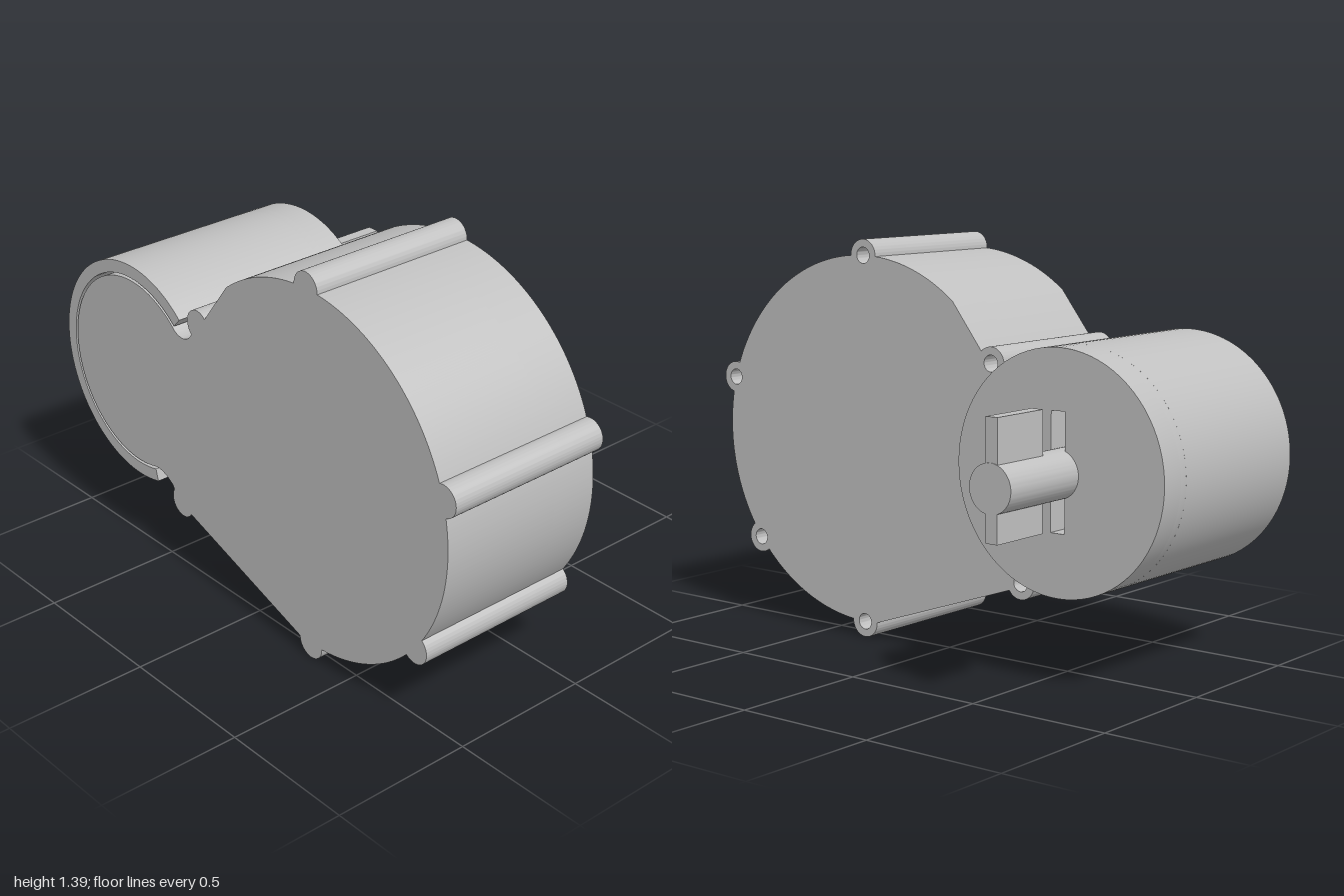
import * as THREE from 'three';
import { toCreasedNormals } from 'three/addons/utils/BufferGeometryUtils.js';

const steel = new THREE.MeshStandardMaterial({ color: 0xc0c0c0 });
steel.name = 'light grey metal';

const FRONT = 0.545, BACK = -0.07, CAP_BACK = -0.2, CAP_FRONT = -0.08;
const big = { x: 0.325, y: 0.7, r: 0.64 };
const small = { x: -0.6, y: 0.7 };
const BOSS_R = 0.055, HOLE_R = 0.028;
const rad = THREE.MathUtils.degToRad;

// Prism of a shape between two z positions, smooth along curves
function prism(name, shape, z0, z1) {
  const geo = new THREE.ExtrudeGeometry(shape, { depth: z1 - z0, bevelEnabled: false, curveSegments: 40 });
  geo.translate(0, 0, z0);
  const mesh = new THREE.Mesh(toCreasedNormals(geo, rad(30)), steel);
  mesh.name = name;
  return mesh;
}

function circle(x, y, r) {
  return new THREE.Shape().absarc(x, y, r, 0, Math.PI * 2, false);
}

function rect(x0, x1, y0, y1) {
  return new THREE.Shape([[x0, y0], [x1, y0], [x1, y1], [x0, y1]].map(p => new THREE.Vector2(...p)));
}

// Screw bosses: four on the big rim, two at the waist
const rimAngles = [-90, -38.7, 15.9, 90].map(rad);
const onRim = a => ({ x: big.x + big.r * Math.cos(a), y: big.y + big.r * Math.sin(a) });
const upperBoss = { x: -0.23, y: 1.01 }, lowerBoss = { x: -0.357, y: 0.292 };
const bosses = [...rimAngles.map(onRim), upperBoss, lowerBoss];

// Counter-clockwise outline of the gear housing including its bosses
function housingShape() {
  const s = new THREE.Shape();
  const boss = (c, from, to) => s.absarc(c.x, c.y, BOSS_R,
    Math.atan2(from.y - c.y, from.x - c.x), Math.atan2(to.y - c.y, to.x - c.x), false);
  const half = 2 * Math.asin(BOSS_R / (2 * big.r));
  s.moveTo(0, 0.062);
  rimAngles.forEach((a, i) => {
    boss(onRim(a), onRim(a - half), onRim(a + half));
    const next = i < 3 ? rimAngles[i + 1] - half : rad(128);
    s.absarc(big.x, big.y, big.r, a + half, next, false);
  });
  boss(upperBoss, { x: -0.185, y: 1.053 }, { x: -0.265, y: 0.967 });
  s.quadraticCurveTo(-0.3, 0.915, -0.356, 0.944);
  s.absarc(small.x, small.y, 0.345, rad(45), rad(287), false);
  s.quadraticCurveTo(-0.45, 0.368, -0.41, 0.335);
  boss(lowerBoss, { x: -0.404, y: 0.322 }, { x: -0.31, y: 0.262 });
  s.closePath();
  return s;
}

export function createModel() {
  const model = new THREE.Group();
  model.name = 'geared motor';

  // Gear housing: solid front, rear layer with screw holes
  const split = 0.1;
  const drilled = housingShape();
  bosses.forEach(b => drilled.holes.push(circle(b.x, b.y, HOLE_R)));
  model.add(prism('housing', housingShape(), split, FRONT));
  model.add(prism('housingRearWithScrewHoles', drilled, BACK, split));

  // Open sleeve around the small end
  const sleeve = new THREE.Shape();
  sleeve.absarc(small.x, small.y, 0.4, rad(47.5), rad(285), false);
  sleeve.absarc(small.x, small.y, 0.355, rad(285), rad(47.5), true);
  sleeve.closePath();
  model.add(prism('sleeve', sleeve, CAP_FRONT, FRONT));

  // End cap with a blind key slot
  const slotFloor = -0.11;
  const capBack = circle(small.x, small.y, 0.4);
  capBack.holes.push(rect(-0.627, -0.573, 0.51, 0.9));
  model.add(prism('capFloor', circle(small.x, small.y, 0.4), slotFloor, CAP_FRONT));
  model.add(prism('capWithSlot', capBack, CAP_BACK, slotFloor));

  // Output shaft and its flat key
  model.add(prism('shaft', circle(small.x, small.y, 0.08), -0.545, slotFloor));
  model.add(prism('shaftKey', rect(-0.627, -0.582, 0.53, 0.92), -0.543, -0.315));

  return model;
}
